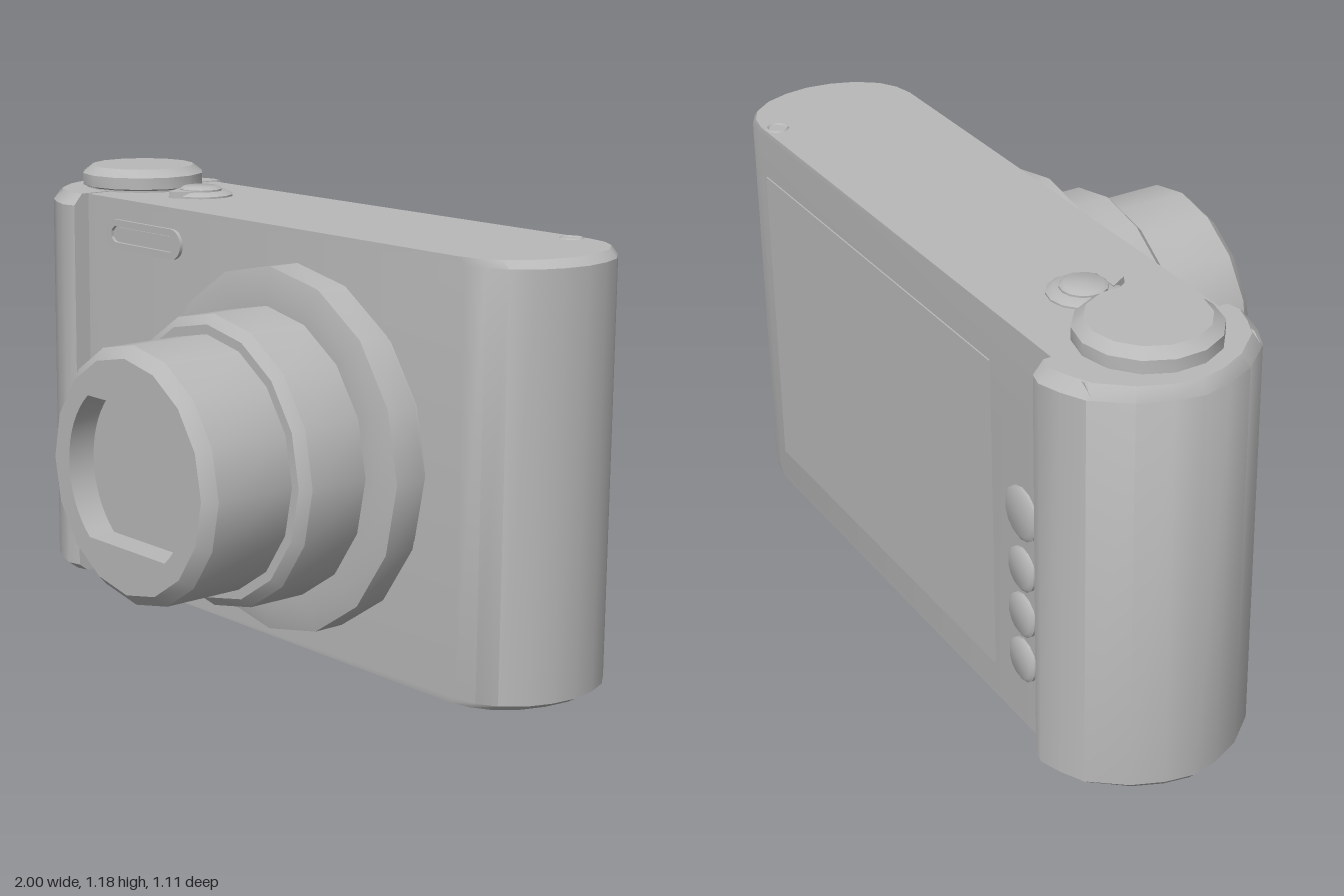
import * as THREE from 'three';
import { toCreasedNormals } from 'three/addons/utils/BufferGeometryUtils.js';

const CREASE = 0.65;

// Closed prism along y: an outline of [x, z] lofted through levels [y, scaleX, scaleZ] about a centre.
function prism(outline, levels, cx, cz) {
  let pts = outline.map(([x, z]) => new THREE.Vector2(x, z));
  if (THREE.ShapeUtils.isClockWise(pts)) pts = pts.reverse();
  const n = pts.length, pos = [], idx = [];
  for (const [y, sx, sz] of levels) {
    for (const p of pts) pos.push(cx + (p.x - cx) * sx, y, cz + (p.y - cz) * sz);
  }
  for (let l = 0; l < levels.length - 1; l++) {
    for (let i = 0; i < n; i++) {
      const a = l * n + i, b = l * n + (i + 1) % n;
      idx.push(a, a + n, b, b, a + n, b + n);
    }
  }
  const top = (levels.length - 1) * n;
  for (const [a, b, c] of THREE.ShapeUtils.triangulateShape(pts, [])) {
    idx.push(a, b, c, top + a, top + c, top + b);
  }
  const g = new THREE.BufferGeometry();
  g.setAttribute('position', new THREE.Float32BufferAttribute(pos, 3));
  g.setIndex(idx);
  g.computeVertexNormals();
  return g;
}

const lathe = (profile, sides) =>
  new THREE.LatheGeometry(profile.map(([r, y]) => new THREE.Vector2(r, y)), sides);

// Horizontal rounded slot outline
function slot(target, halfLength, r) {
  const s = halfLength - r;
  target.absarc(s, 0, r, -Math.PI / 2, Math.PI / 2, false);
  target.absarc(-s, 0, r, Math.PI / 2, Math.PI * 1.5, false);
  target.closePath();
  return target;
}

// Circle with its top and bottom cut flat
function flattened(target, r, h) {
  const a = Math.asin(h / r);
  target.absarc(0, 0, r, -a, a, false);
  target.absarc(0, 0, r, Math.PI - a, Math.PI + a, false);
  target.closePath();
  return target;
}

export function createModel() {
  const model = new THREE.Group();
  model.name = 'camera';
  const grey = new THREE.MeshStandardMaterial({ color: 0xb8b8b8 });
  grey.name = 'grey';

  function add(name, geometry, x = 0, y = 0, z = 0, parent = model) {
    const mesh = new THREE.Mesh(toCreasedNormals(geometry, CREASE), grey);
    mesh.name = name;
    mesh.position.set(x, y, z);
    parent.add(mesh);
    return mesh;
  }

  // Body with one rounded end
  const body = [
    [-0.88, -0.035], [0.81, -0.035], [0.87, -0.047], [0.92, -0.075], [0.965, -0.13], [0.99, -0.195],
    [1, -0.265], [0.99, -0.335], [0.965, -0.4], [0.92, -0.455], [0.87, -0.483], [0.81, -0.495], [-0.88, -0.495],
  ];
  add('body', prism(body, [[0, 0.975, 1], [0.015, 1, 1], [1.1, 1, 1], [1.12, 0.975, 1]], 0, -0.265));

  // Hand grip wrapped around the other end
  const grip = [
    [-0.72, -0.515], [-0.72, -0.545], [-0.76, -0.555], [-0.82, -0.535], [-0.88, -0.505], [-0.95, -0.42],
    [-0.985, -0.34], [-1, -0.265], [-0.985, -0.19], [-0.95, -0.11], [-0.88, -0.025], [-0.82, 0.005],
    [-0.76, 0.025], [-0.72, 0.015], [-0.72, -0.015],
  ];
  add('grip', prism(grip, [[0.001, 0.93, 0.9], [0.022, 1, 1], [1.09, 1, 1], [1.122, 0.93, 0.9]], -0.72, -0.265));

  // Mode dial
  add('modeDial', lathe([[0.165, 1.11], [0.165, 1.125], [0.178, 1.13], [0.178, 1.163], [0.15, 1.185], [0, 1.185]], 14),
    -0.765, 0, -0.265);

  // Shutter button, its collar and zoom lever
  add('shutterCollar', lathe([[0.092, 1.115], [0.092, 1.125], [0.075, 1.135], [0, 1.135]], 14), -0.49, 0, -0.265);
  add('shutterButton', lathe([[0.06, 1.13], [0.06, 1.14], [0.05, 1.147], [0, 1.147]], 14), -0.49, 0, -0.265);
  add('zoomLever', prism([[-0.04, 0.06], [0.04, 0.06], [0.012, 0.108], [-0.012, 0.108]],
    [[1.118, 1, 1], [1.138, 1, 0.97]], 0, 0), -0.49, 0, -0.265);

  // Flash window: raised frame and inner pane
  const frame = slot(new THREE.Shape(), 0.17, 0.042);
  frame.holes.push(slot(new THREE.Path(), 0.147, 0.023));
  add('flashFrame', new THREE.ExtrudeGeometry(frame, { depth: 0.012, bevelEnabled: false, curveSegments: 6 }),
    -0.45, 1.02, -0.037);
  add('flashPane', new THREE.ExtrudeGeometry(slot(new THREE.Shape(), 0.145, 0.02),
    { depth: 0.005, bevelEnabled: false, curveSegments: 6 }), -0.45, 1.02, -0.037);

  // Telescoping lens, facing +z
  const lens = new THREE.Group();
  lens.name = 'lens';
  lens.position.set(0.24, 0.56, 0);
  model.add(lens);
  const barrels = {
    lensMount: [[0.45, -0.04], [0.45, -0.012], [0.465, -0.012], [0.48, -0.002], [0.48, 0.088], [0.425, 0.1], [0.37, 0.1]],
    outerBarrel: [[0.38, 0.09], [0.38, 0.272], [0.355, 0.295], [0.32, 0.295]],
    innerBarrel: [[0.33, 0.285], [0.33, 0.522], [0.3, 0.552], [0.28, 0.552]],
  };
  for (const [name, profile] of Object.entries(barrels)) {
    add(name, lathe(profile, 16), 0, 0, 0, lens).rotation.x = Math.PI / 2;
  }

  // Front ring with a flattened opening, and the glass behind it
  const ring = new THREE.Shape().absarc(0, 0, 0.295, 0, Math.PI * 2, false);
  ring.holes.push(flattened(new THREE.Path(), 0.24, 0.183));
  add('lensRing', new THREE.ExtrudeGeometry(ring, { depth: 0.09, bevelEnabled: false, curveSegments: 8 }),
    0, 0, 0.461, lens);
  add('lensGlass', new THREE.CircleGeometry(0.28, 16), 0, 0, 0.475, lens);

  // Rear screen
  add('screen', new THREE.BoxGeometry(1.21, 0.88, 0.008), 0.165, 0.54, -0.495);

  // Rear control buttons
  [[0.63, 0.072], [0.47, 0.06], [0.335, 0.06], [0.2, 0.06]].forEach(([y, r]) => {
    const button = add('rearButton', lathe([[r, -0.01], [r, 0.008], [r * 0.82, 0.015], [0, 0.015]], 14), -0.585, y, -0.494);
    button.rotation.x = -Math.PI / 2;
  });

  // Small indicator ring on top
  add('topIndicator', new THREE.TorusGeometry(0.028, 0.004, 4, 10), 0.76, 1.12, -0.46).rotation.x = Math.PI / 2;

  return model;
}
